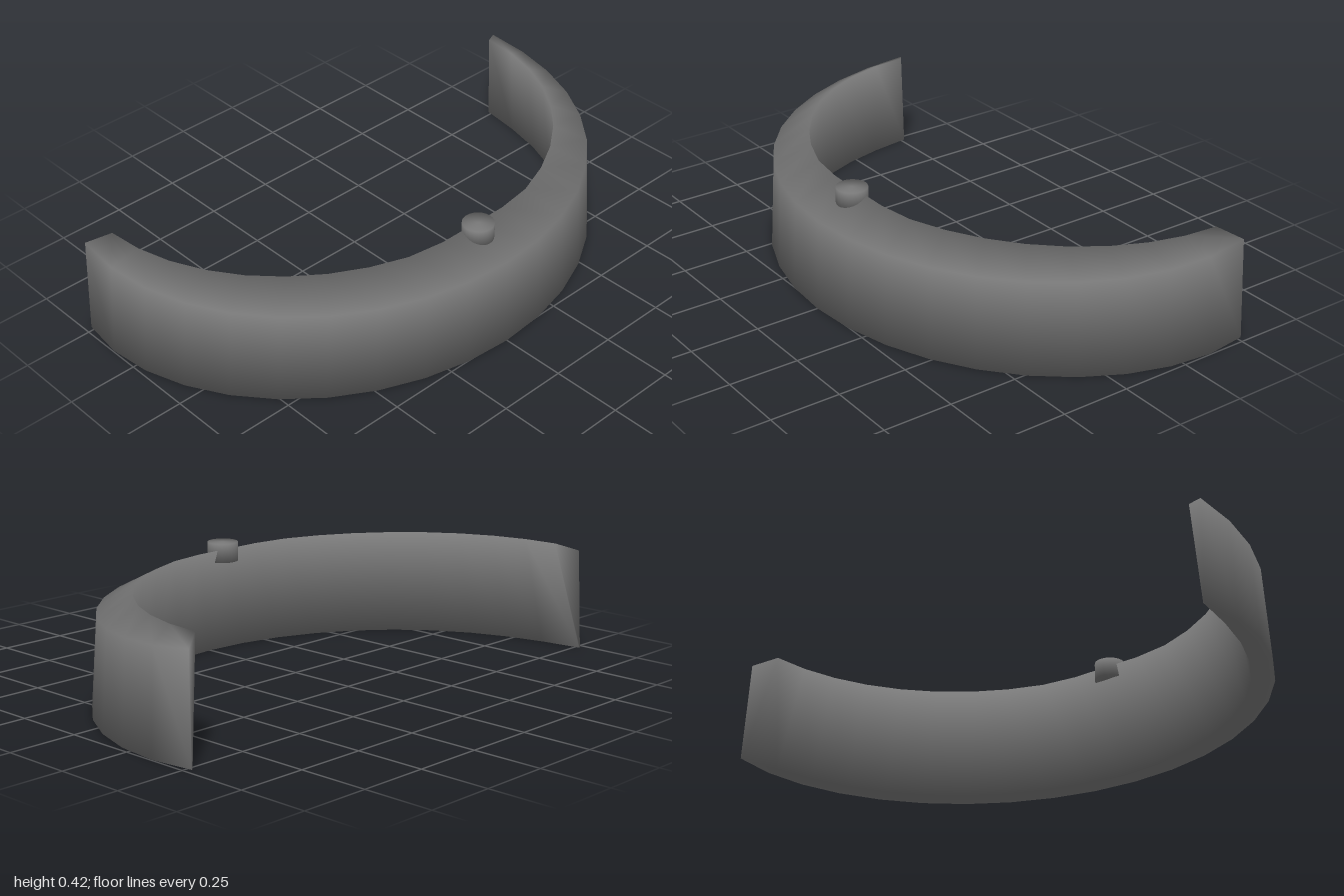
import * as THREE from 'three';

const SEGMENTS = 20;

// Point on an elliptical arc; s runs -1..1 from the back end to the front end
function arcPoint(s, sweep, cx, rx, rz, y, maxX = Infinity) {
  const t = THREE.MathUtils.degToRad(s * sweep);
  return [Math.min(maxX, cx + rx * Math.cos(t)), y, rz * Math.sin(t)];
}

// Closed cross-section: outer foot, shoulder, inner rim, inner foot.
// Towards both ends the foot narrows to a point and the shoulder rises.
function crossSection(s) {
  const end = s ** 8;
  return [
    arcPoint(s, 97.3, -0.4, 0.915, 1.007 - 0.022 * end, 0),
    arcPoint(s, 96.5, -0.4, 0.9, 0.98 - 0.005 * end, 0.325 + 0.04 * s ** 4),
    arcPoint(s, 90, -0.45, 0.81, 0.893, 0.395, 0.34),
    arcPoint(s, 97.3, -0.4, 0.837 + 0.07 * end, 0.93 + 0.05 * end, 0),
  ];
}

// Smooth normals in which every touching face counts equally
function smoothEvenly(geometry) {
  const flat = geometry.toNonIndexed();
  flat.computeVertexNormals();
  const faceNormals = flat.getAttribute('normal');
  const sums = new Float32Array(geometry.getAttribute('position').count * 3);
  geometry.index.array.forEach((v, corner) => {
    sums[v * 3] += faceNormals.getX(corner);
    sums[v * 3 + 1] += faceNormals.getY(corner);
    sums[v * 3 + 2] += faceNormals.getZ(corner);
  });
  geometry.setAttribute('normal', new THREE.BufferAttribute(sums, 3));
  geometry.normalizeNormals();
  return geometry;
}

function archGeometry() {
  const positions = [];
  const index = [];
  const n = 4;
  for (let i = 0; i <= SEGMENTS; i++) {
    crossSection(2 * i / SEGMENTS - 1).forEach((p) => positions.push(...p));
  }
  const quad = (a, b, c, d) => index.push(a, b, c, a, c, d);
  for (let i = 0; i < SEGMENTS; i++) {
    for (let j = 0; j < n; j++) {
      const k = (j + 1) % n;
      quad(i * n + j, i * n + k, (i + 1) * n + k, (i + 1) * n + j);
    }
  }
  // End faces
  const e = SEGMENTS * n;
  quad(e, e + 1, e + 2, e + 3);
  quad(3, 2, 1, 0);
  const geometry = new THREE.BufferGeometry();
  geometry.setAttribute('position', new THREE.Float32BufferAttribute(positions, 3));
  geometry.setIndex(index);
  return smoothEvenly(geometry);
}

export function createModel() {
  const group = new THREE.Group();
  group.name = 'curvedGuard';
  const material = new THREE.MeshStandardMaterial({ color: 0x787878 });

  // Half-round body with a sloping top and leaning inner wall
  const arch = new THREE.Mesh(archGeometry(), material);
  arch.name = 'archBody';
  group.add(arch);

  // Small round peg sunk into the middle of the rim
  const profile = [[0, 0.35], [0.055, 0.35], [0.055, 0.418], [0, 0.418]]
    .map(([r, y]) => new THREE.Vector2(r, y));
  const peg = new THREE.Mesh(new THREE.LatheGeometry(profile, 24), material);
  peg.name = 'rimPeg';
  peg.position.x = 0.365;
  group.add(peg);

  return group;
}
